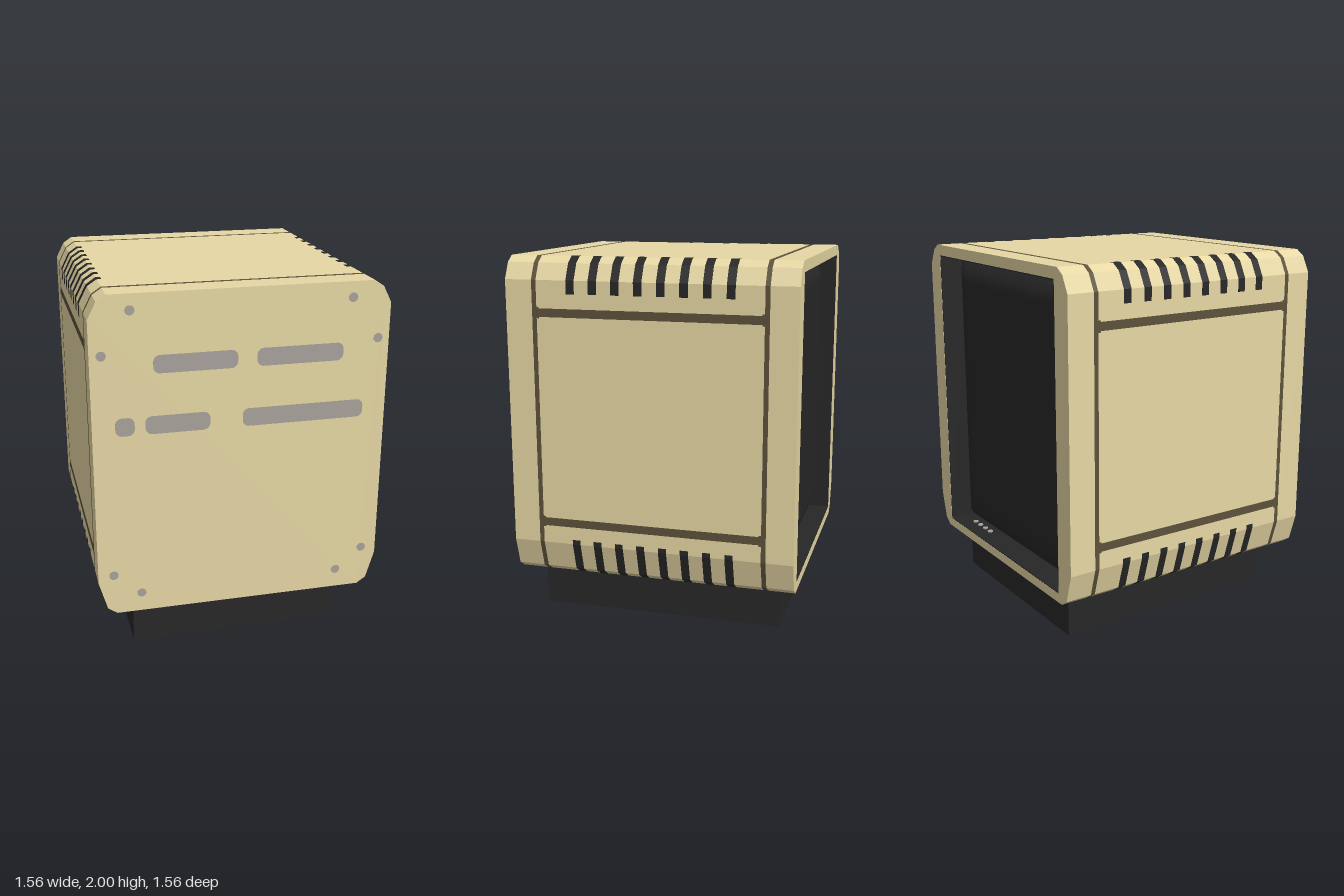
import * as THREE from 'three';

const CY = 1.125; // height of the cabinet centre
// right half of the cabinet outline, top to bottom
const HALF = [[0.685, 2], [0.735, 1.967], [0.78, 1.88], [0.78, 0.44], [0.735, 0.285], [0.685, 0.25]];
// paths of the vents that wrap over the corners
const VENT_PATHS = [
  [[0.66, 2], ...HALF.slice(0, 3), [0.78, 1.81]],
  [[0.78, 0.465], ...HALF.slice(3), [0.66, 0.25]],
];

const vec = (pts, sx = 1, k = 1) => pts.map(([x, y]) => new THREE.Vector2(x * sx * k, CY + (y - CY) * k));
const rect = (hw, y0, y1) => [[-hw, y0], [hw, y0], [hw, y1], [-hw, y1]];
const outline = () => new THREE.Shape([...vec(HALF), ...vec(HALF, -1).reverse()]);

function extrude(shape, z0, z1) {
  const g = new THREE.ExtrudeGeometry(shape, { depth: z1 - z0, bevelEnabled: false, curveSegments: 8 });
  return g.translate(0, 0, z0);
}

function roundedRect(x0, y0, x1, y1, r) {
  const s = new THREE.Shape();
  s.absarc(x1 - r, y1 - r, r, 0, Math.PI / 2);
  s.absarc(x0 + r, y1 - r, r, Math.PI / 2, Math.PI);
  s.absarc(x0 + r, y0 + r, r, Math.PI, Math.PI * 1.5);
  s.absarc(x1 - r, y0 + r, r, Math.PI * 1.5, Math.PI * 2);
  return s;
}

export function createModel() {
  const model = new THREE.Group();
  model.name = 'monitor';
  const mat = (name, color) => {
    const m = new THREE.MeshStandardMaterial({ color });
    m.name = name;
    return m;
  };
  const beige = mat('beige plastic', 0xe6d7a4);
  const black = mat('black plastic', 0x272727);
  const grey = mat('grey panel', 0xa8a29b);
  const brown = mat('dark groove', 0x5c513b);
  const add = (name, geometry, material, parent = model) => {
    const m = new THREE.Mesh(geometry, material);
    m.name = name;
    parent.add(m);
    return m;
  };
  const group = (name) => {
    const g = new THREE.Group();
    g.name = name;
    model.add(g);
    return g;
  };

  // cabinet in sections along z, with dark flush seams; the rear ones frame the screen recess
  const BACK = -0.6075;
  const cabinet = group('cabinet');
  const sections = [
    ['screenRim', -0.78, -0.6325, beige], ['rearSeam', -0.6325, BACK, brown],
    ['cabinetBody', BACK, 0.6075, beige],
    ['frontSeam', 0.6075, 0.6325, brown], ['frontCover', 0.6325, 0.78, beige],
  ];
  for (const [name, z0, z1, material] of sections) {
    const shape = outline();
    if (z0 < BACK) shape.holes.push(new THREE.Path(vec(rect(0.655, 0.3, 1.94))));
    add(name, extrude(shape, z0, z1), material, cabinet);
  }

  // dark lining of the recess
  const lining = new THREE.Shape(vec(rect(0.655, 0.3, 1.94)));
  lining.holes.push(new THREE.Path(vec(rect(0.65, 0.305, 1.935))));
  add('recessLining', extrude(lining, -0.779, BACK), black);

  // screen facing -z: its rounded edges rise out of the recess to a nearly flat middle
  const screen = new THREE.PlaneGeometry(1.3, 1.63, 40, 50);
  const p = screen.attributes.position;
  for (let i = 0; i < p.count; i++) {
    const edge = Math.min(0.65 - Math.abs(p.getX(i)), 0.815 - Math.abs(p.getY(i)));
    p.setZ(i, 0.07 * Math.sin(Math.min(1, edge / 0.13) * Math.PI / 2));
  }
  screen.computeVertexNormals();
  screen.rotateY(Math.PI).translate(0, 1.12, -0.63);
  add('screen', screen, black);

  // small control knobs on the recess floor
  const knobs = group('controlKnobs');
  for (let i = 0; i < 4; i++) {
    add('knob', new THREE.CylinderGeometry(0.016, 0.016, 0.008, 12).translate(0.5 - i * 0.065, 0.308, -0.69), grey, knobs);
  }

  // vents wrapped over the chamfered corners
  const vents = group('vents');
  for (const sx of [-1, 1]) {
    for (const path of VENT_PATHS) {
      const shape = new THREE.Shape([...vec(path, sx, 1.001), ...vec(path, sx, 0.995).reverse()]);
      for (let i = 0; i < 8; i++) {
        const z = 0.418 - i * 0.122;
        add('vent', extrude(shape, z - 0.0225, z + 0.0225), black, vents);
      }
    }
  }

  // horizontal side grooves, wider at the ends
  const grooves = group('sideGrooves');
  for (const sx of [-1, 1]) {
    for (const y of [1.71, 0.56]) {
      add('groove', new THREE.BoxGeometry(0.004, 0.045, 1.215).translate(sx * 0.779, y, 0), brown, grooves);
      for (const z of [-0.601, 0.601]) {
        add('grooveEnd', new THREE.BoxGeometry(0.004, 0.06, 0.013).translate(sx * 0.779, y, z), brown, grooves);
      }
    }
  }

  // stand
  add('stand', new THREE.BoxGeometry(1.17, 0.25, 1.36).translate(0, 0.125, 0), black);

  // connector panels on the +z face
  const panels = group('connectorPanels');
  const slots = [
    [-0.462, 1.588, -0.028, 1.683], [0.073, 1.588, 0.533, 1.683],
    [-0.662, 1.268, -0.563, 1.365], [-0.508, 1.268, -0.172, 1.365], [0, 1.268, 0.655, 1.365],
  ];
  for (const [x0, y0, x1, y1] of slots) {
    add('connectorPanel', extrude(roundedRect(x0, y0, x1, y1, 0.035), 0.777, 0.781), grey, panels);
  }

  // screws on the +z face
  const screws = group('screws');
  for (const [x, y] of [[0.573, 1.917], [0.72, 1.695], [0.697, 0.48], [0.55, 0.358]]) {
    for (const sx of [-1, 1]) {
      const screw = new THREE.CylinderGeometry(0.025, 0.025, 0.004, 16);
      screw.rotateX(Math.PI / 2).translate(sx * x, y, 0.779);
      add('screw', screw, grey, screws);
    }
  }
  return model;
}
